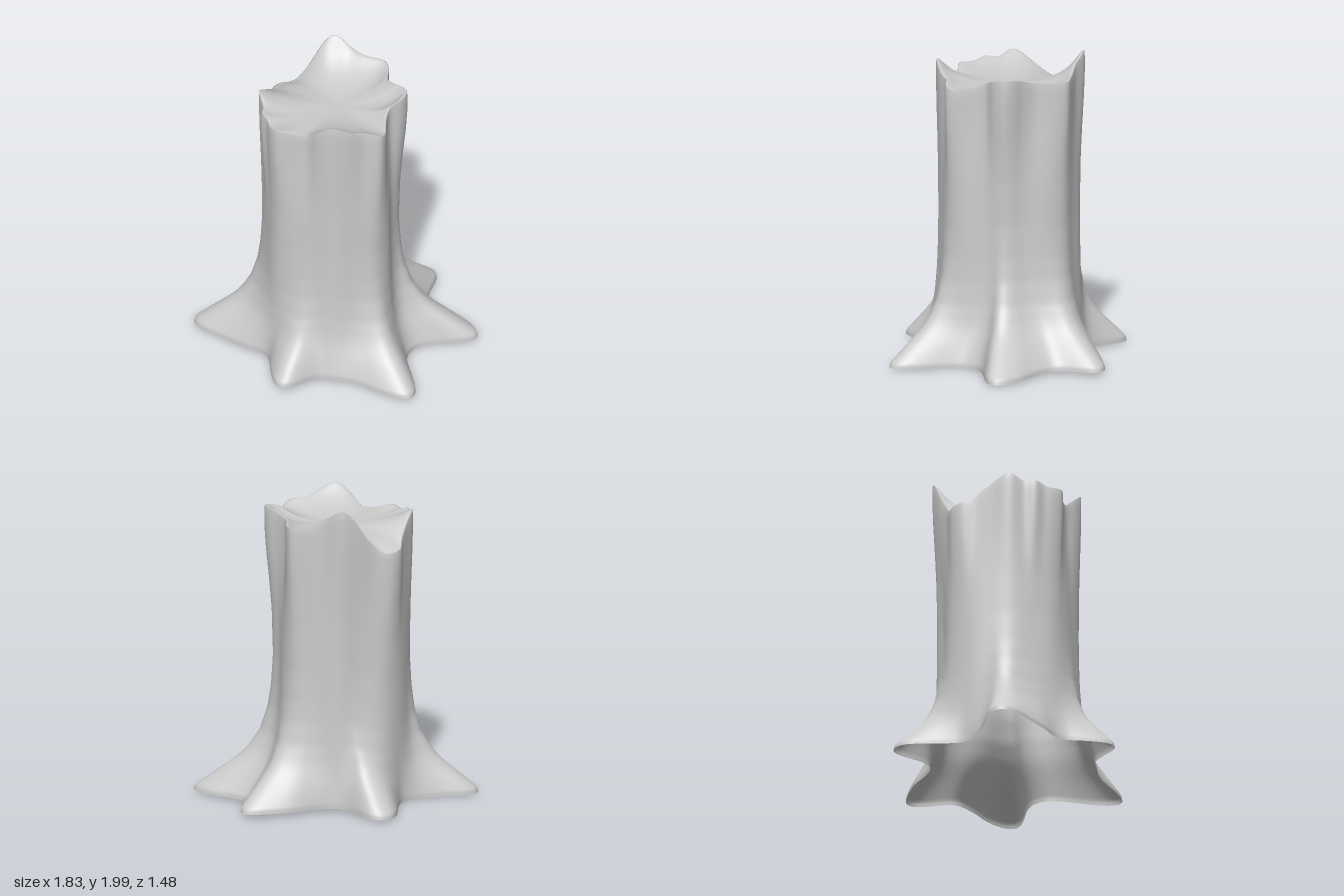
import * as THREE from 'three';

const SEG = 256;

// Closed outline of x,z pairs -> radius for each of SEG angles
function polarRadii(flat) {
  const pts = [];
  for (let i = 0; i < flat.length; i += 2) pts.push(new THREE.Vector3(flat[i], 0, flat[i + 1]));
  const samples = new THREE.CatmullRomCurve3(pts, true).getPoints(900)
    .map((p) => [(Math.atan2(p.z, p.x) + 2 * Math.PI) % (2 * Math.PI), Math.hypot(p.x, p.z)]);
  return resample(samples, 2 * Math.PI);
}

// Periodic linear lookup of [angle, value] pairs
function resample(pairs, period) {
  const s = [...pairs].sort((a, b) => a[0] - b[0]);
  const first = s[0], last = s[s.length - 1];
  s.unshift([last[0] - period, last[1]]);
  s.push([first[0] + period, first[1]]);
  return Array.from({ length: SEG }, (_, i) => lookup(s, (i / SEG) * period));
}

function lookup(table, x) {
  let k = 1;
  while (k < table.length - 1 && table[k][0] < x) k++;
  const [x0, y0] = table[k - 1], [x1, y1] = table[k];
  const t = THREE.MathUtils.clamp((x - x0) / (x1 - x0 || 1), 0, 1);
  return y0 + (y1 - y0) * t;
}

// Averages neighbours around the ring
function smooth(ring, passes) {
  for (let p = 0; p < passes; p++) {
    ring = ring.map((v, i) => (ring[(i + SEG - 1) % SEG] + 2 * v + ring[(i + 1) % SEG]) / 4);
  }
  return ring;
}

// Outline of the six spreading roots on the ground
const ROOTS = [
  0.91, 0.04, 0.87, 0.09, 0.68, 0.11, 0.53, 0.16, 0.47, 0.25, 0.47, 0.34, 0.51, 0.5, 0.54, 0.64,
  0.53, 0.71, 0.48, 0.74, 0.36, 0.7, 0.21, 0.62, 0.1, 0.575, 0, 0.565, -0.08, 0.55, -0.17, 0.6,
  -0.25, 0.66, -0.3, 0.685, -0.36, 0.65, -0.4, 0.5, -0.42, 0.36, -0.46, 0.3, -0.6, 0.22, -0.78, 0.1,
  -0.88, 0.03, -0.92, -0.03, -0.91, -0.1, -0.85, -0.14, -0.7, -0.16, -0.55, -0.2, -0.43, -0.29,
  -0.4, -0.42, -0.39, -0.6, -0.36, -0.7, -0.29, -0.745, -0.21, -0.72, -0.14, -0.62, -0.06, -0.53,
  0.02, -0.5, 0.13, -0.53, 0.3, -0.61, 0.45, -0.645, 0.56, -0.655, 0.615, -0.61, 0.6, -0.5,
  0.57, -0.38, 0.58, -0.32, 0.68, -0.22, 0.82, -0.12, 0.9, -0.02,
];

// Rounder section half way up the trunk
const WAIST = [
  0.4, 0, 0.36, 0.13, 0.34, 0.27, 0.27, 0.37, 0.13, 0.42, 0, 0.45, -0.14, 0.41, -0.27, 0.36,
  -0.38, 0.28, -0.44, 0.15, -0.48, 0, -0.46, -0.13, -0.41, -0.27, -0.31, -0.38, -0.15, -0.42,
  -0.02, -0.46, 0.13, -0.42, 0.26, -0.38, 0.33, -0.28, 0.36, -0.13,
];

// Fluted section at the broken rim
const RIM = [
  0.455, 0, 0.42, 0.07, 0.35, 0.12, 0.33, 0.2, 0.33, 0.33, 0.3, 0.385, 0.2, 0.39, 0.1, 0.44,
  -0.02, 0.465, -0.1, 0.43, -0.17, 0.37, -0.27, 0.345, -0.37, 0.34, -0.42, 0.28, -0.44, 0.22,
  -0.48, 0.17, -0.47, 0.1, -0.5, 0, -0.46, -0.12, -0.43, -0.22, -0.42, -0.31, -0.37, -0.37,
  -0.25, -0.4, -0.13, -0.46, -0.03, -0.49, 0.08, -0.44, 0.2, -0.42, 0.29, -0.4, 0.32, -0.33,
  0.32, -0.2, 0.37, -0.12, 0.43, -0.06,
];

// Jagged rim height by angle in degrees, from +x towards +z
const RIM_HEIGHT = [
  [0, 1.92], [15, 1.89], [25, 1.85], [45, 1.81], [55, 1.85], [70, 1.86], [80, 1.91], [92, 1.95],
  [105, 1.87], [115, 1.8], [128, 1.8], [138, 1.83], [148, 1.81], [159, 1.85], [168, 1.83],
  [180, 1.9], [195, 1.82], [215, 1.71], [232, 1.69], [245, 1.81], [255, 1.94], [265, 2.02],
  [275, 1.96], [290, 1.89], [308, 1.87], [330, 1.87], [345, 1.9],
];

// Strength of the root flare and of the rim fluting by height
const FLARE = [[0, 1], [0.03, 0.98], [0.06, 0.9], [0.1, 0.79], [0.15, 0.65], [0.2, 0.51], [0.25, 0.39],
  [0.3, 0.3], [0.4, 0.17], [0.55, 0.07], [0.7, 0.025], [0.9, 0]];
const FLUTE = [[0.9, 0], [1.2, 0.15], [1.4, 0.45], [1.6, 0.82], [1.75, 1]];

// Rings of the broken top: inward scale and remaining share of the rim's rise
const TOP_RINGS = [[0.985, 1.02], [0.96, 1.0], [0.92, 0.88], [0.86, 0.7], [0.78, 0.5], [0.66, 0.3],
  [0.5, 0.14], [0.3, 0.04], [0.12, 0]];
const TOP_CENTRE = 1.78;

function stumpGeometry() {
  const roots = smooth(polarRadii(ROOTS), 3);
  const waist = smooth(polarRadii(WAIST), 8);
  const rim = smooth(polarRadii(RIM), 2);
  const height = smooth(resample(RIM_HEIGHT, 360), 10);
  const positions = [], index = [];
  let rings = 0;
  const addRing = (at) => {
    for (let i = 0; i < SEG; i++) {
      const a = (i / SEG) * Math.PI * 2;
      const [r, y] = at(i, a);
      positions.push(Math.cos(a) * r, y, Math.sin(a) * r);
    }
    rings++;
  };

  // Roots and trunk, rings closer together near the ground
  const ROWS = 60;
  for (let j = 0; j <= ROWS; j++) {
    const t = Math.pow(j / ROWS, 1.6);
    addRing((i, a) => {
      const foot = 0.012 + 0.012 * Math.sin(a * 2 + 3.6);
      const level = t * 1.88;
      const r = waist[i] + (roots[i] - waist[i]) * lookup(FLARE, level)
        + (rim[i] - waist[i]) * lookup(FLUTE, level);
      const lip = j === ROWS ? 0.996 : 1;
      return [r * lip, foot + (height[i] - 0.012 - foot) * t];
    });
  }
  // Hollowed broken top
  for (const [scale, rise] of TOP_RINGS) {
    const soft = smooth(height, Math.round((1 - scale) * 120));
    addRing((i) => [rim[i] * scale, TOP_CENTRE + (soft[i] - 0.012 - TOP_CENTRE) * rise]);
  }

  for (let j = 0; j < rings - 1; j++) {
    for (let i = 0; i < SEG; i++) {
      const k = (i + 1) % SEG;
      const a = j * SEG + i, b = j * SEG + k, c = a + SEG, d = b + SEG;
      index.push(a, c, b, b, c, d);
    }
  }
  const centre = positions.length / 3;
  positions.push(0, TOP_CENTRE, 0);
  for (let i = 0; i < SEG; i++) {
    index.push((rings - 1) * SEG + i, centre, (rings - 1) * SEG + ((i + 1) % SEG));
  }

  const geometry = new THREE.BufferGeometry();
  geometry.setAttribute('position', new THREE.Float32BufferAttribute(positions, 3));
  geometry.setIndex(index);
  geometry.computeVertexNormals();
  return geometry;
}

export function createModel() {
  const group = new THREE.Group();
  group.name = 'treeStump';
  // Open underneath, so both sides show
  const bark = new THREE.MeshStandardMaterial({ color: 0xcccccc, side: THREE.DoubleSide });
  const stump = new THREE.Mesh(stumpGeometry(), bark);
  stump.name = 'trunkWithRoots';
  group.add(stump);
  return group;
}
